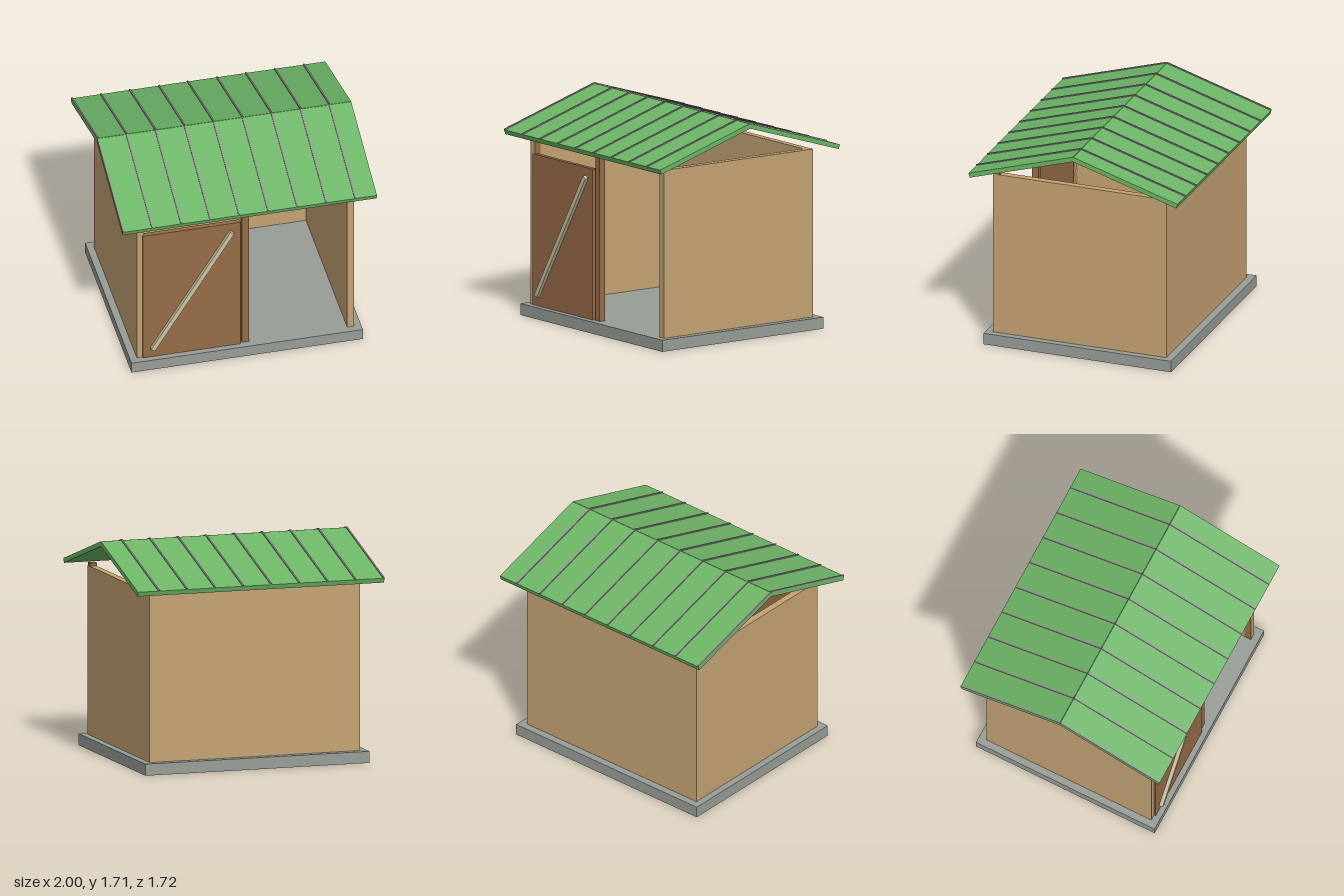
import * as THREE from 'three';

const mat = (name, color) => {
  const m = new THREE.MeshStandardMaterial({ color });
  m.name = name;
  return m;
};

export function createModel() {
  const concrete = mat('concrete', 0x979d97);
  const paleTimber = mat('paleTimber', 0xc4a373);
  const darkTimber = mat('darkTimber', 0x966c47);
  const braceWood = mat('braceWood', 0xcdc4a4);
  const roofGreen = mat('roofGreen', 0x6cb566);
  const seamMetal = mat('seamMetal', 0x988c98);

  const group = new THREE.Group();
  group.name = 'shed';

  // Box given by its minimum and maximum corners
  const box = (name, material, min, max, parent = group) => {
    const size = max.map((v, i) => v - min[i]);
    const mesh = new THREE.Mesh(new THREE.BoxGeometry(...size), material);
    mesh.position.set(...max.map((v, i) => (v + min[i]) / 2));
    mesh.name = name;
    parent.add(mesh);
    return mesh;
  };

  // Base and three walls; the front is open
  box('baseSlab', concrete, [-0.91, 0, -0.77], [0.91, 0.09, 0.77]);
  box('backWall', paleTimber, [-0.855, 0.09, -0.71], [0.855, 1.4, -0.655]);
  box('leftWall', paleTimber, [0.8, 0.09, -0.655], [0.855, 1.4, 0.713]);
  box('rightWall', paleTimber, [-0.855, 0.09, -0.655], [-0.8, 1.4, 0.713]);

  // Front posts: two buried in the wall ends, one standing free
  for (const [name, x] of [['leftPost', 0.827], ['centrePost', 0], ['rightPost', -0.827]]) {
    box(name, darkTimber, [x - 0.027, 0.02, 0.658], [x + 0.027, 1.425, 0.712]);
  }

  // Sliding door with a diagonal brace
  box('door', darkTimber, [-0.81, 0.092, 0.69], [-0.042, 1.27, 0.727]);
  const start = new THREE.Vector2(-0.737, 0.173);
  const end = new THREE.Vector2(-0.113, 1.197);
  const span = end.clone().sub(start);
  const brace = new THREE.Mesh(new THREE.BoxGeometry(span.length(), 0.036, 0.03), braceWood);
  brace.position.set((start.x + end.x) / 2, (start.y + end.y) / 2, 0.741);
  brace.rotation.z = span.angle();
  brace.name = 'doorBrace';
  group.add(brace);

  // Two roof slopes with standing seams, each built flat and tilted from the ridge
  const pitch = Math.atan2(0.262, 0.857);
  for (const [name, turn] of [['frontRoof', 0], ['backRoof', Math.PI]]) {
    const side = new THREE.Group();
    side.name = name;
    side.rotation.y = turn;
    const slope = new THREE.Group();
    slope.position.set(0, 1.703, 0.002);
    slope.rotation.x = pitch;
    box('roofPanel', roofGreen, [-1, -0.037, 0], [1, 0, 0.895], slope);
    for (let i = 0; i < 9; i++) {
      const x = (-0.994 + i * 0.228) * (turn ? -1 : 1);
      box('roofSeam', seamMetal, [x - 0.006, -0.002, 0], [x + 0.006, 0.008, 0.893], slope);
    }
    side.add(slope);
    group.add(side);
  }

  return group;
}
